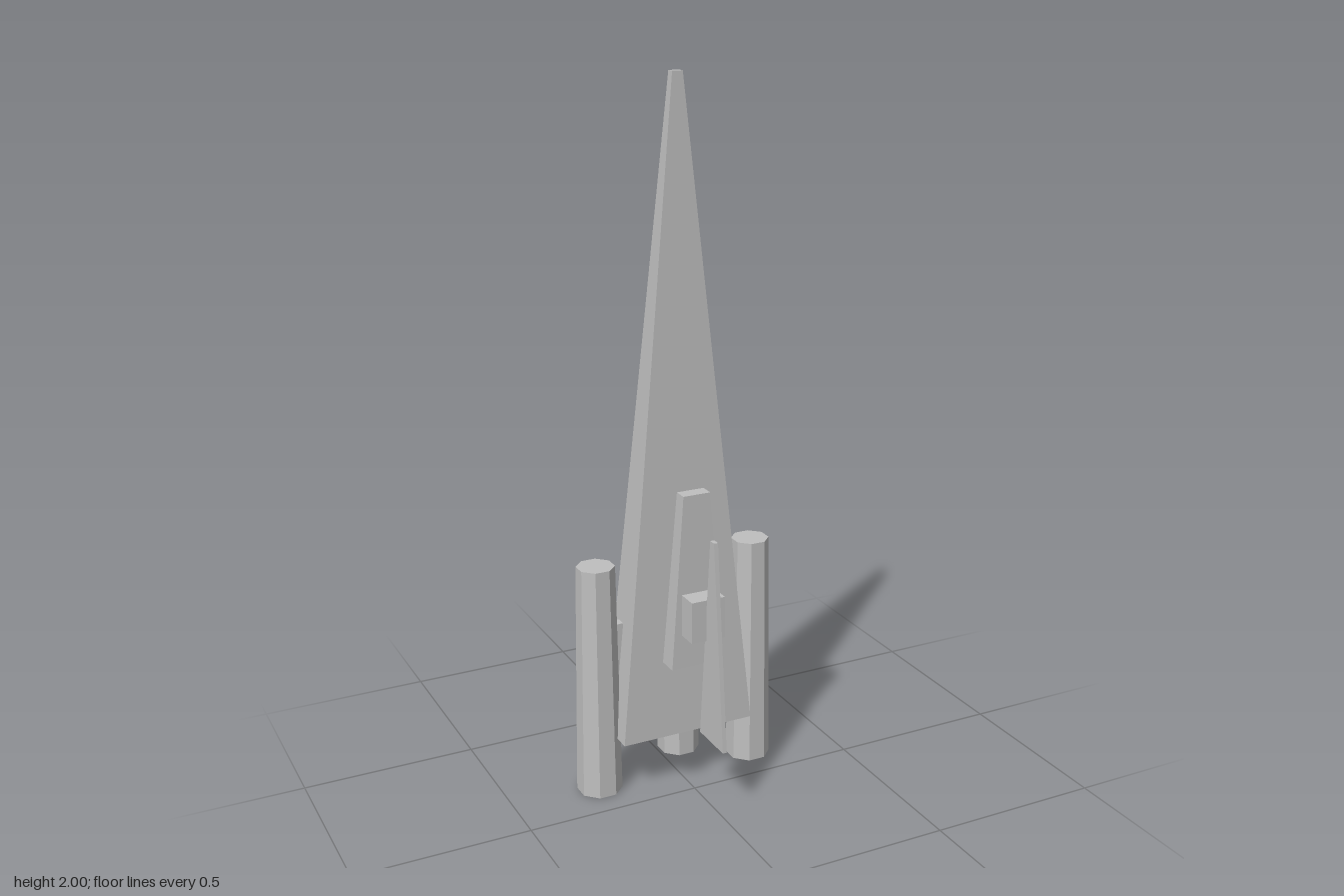
import * as THREE from 'three';

const grey = new THREE.MeshStandardMaterial({ color: 0xbebebe });
grey.name = 'hull grey';

function part(name, geometry, x, y, z) {
  const flat = geometry.toNonIndexed();
  flat.computeVertexNormals(); // faceted look
  const mesh = new THREE.Mesh(flat, grey);
  mesh.name = name;
  mesh.position.set(x, y, z);
  return mesh;
}

// Box from y0 to y1 whose top face has its own width and depth
function taperedBox(name, y0, y1, z, [w0, d0], [w1, d1] = [w0, d0], x = 0) {
  const geometry = new THREE.BoxGeometry(w0, y1 - y0, d0);
  const p = geometry.attributes.position;
  for (let i = 0; i < p.count; i++) {
    if (p.getY(i) > 0) {
      p.setX(i, p.getX(i) * w1 / w0);
      p.setZ(i, p.getZ(i) * d1 / d0);
    }
  }
  return part(name, geometry, x, (y0 + y1) / 2, z);
}

// Eight-sided column with its flats facing the axes; sizes are half-widths
function octagon(name, y0, y1, bottom, top, x, z) {
  const k = 1 / Math.cos(Math.PI / 8);
  const geometry = new THREE.CylinderGeometry(top * k, bottom * k, y1 - y0, 8);
  geometry.rotateY(Math.PI / 8);
  return part(name, geometry, x, (y0 + y1) / 2, z);
}

export function createModel() {
  const group = new THREE.Group();
  group.name = 'spaceship';

  // Long pyramid hull and the nozzle beneath it
  group.add(taperedBox('hull', 0.165, 2, -0.108, [0.4, 0.14], [0.03, 0.022]));
  group.add(octagon('tailNozzle', 0.085, 0.18, 0.055, 0.055, 0, -0.108));

  // Raised deck, fin mount and upright fin on the front
  group.add(taperedBox('deck', 0.4, 0.9, -0.007, [0.16, 0.06], [0.08, 0.04]));
  group.add(taperedBox('finMount', 0.5, 0.62, 0.053, [0.1, 0.062]));
  group.add(taperedBox('fin', 0.205, 0.8, 0.115, [0.012, 0.138], [0.012, 0.022]));

  // Side engines on struts
  for (const [side, label] of [[1, 'left'], [-1, 'right']]) {
    group.add(octagon(label + 'Engine', 0, 0.685, 0.06, 0.05, side * 0.24, -0.128));
    group.add(taperedBox(label + 'Strut', 0.2, 0.505, -0.128, [0.06, 0.03], [0.06, 0.03], side * 0.196));
  }
  return group;
}
